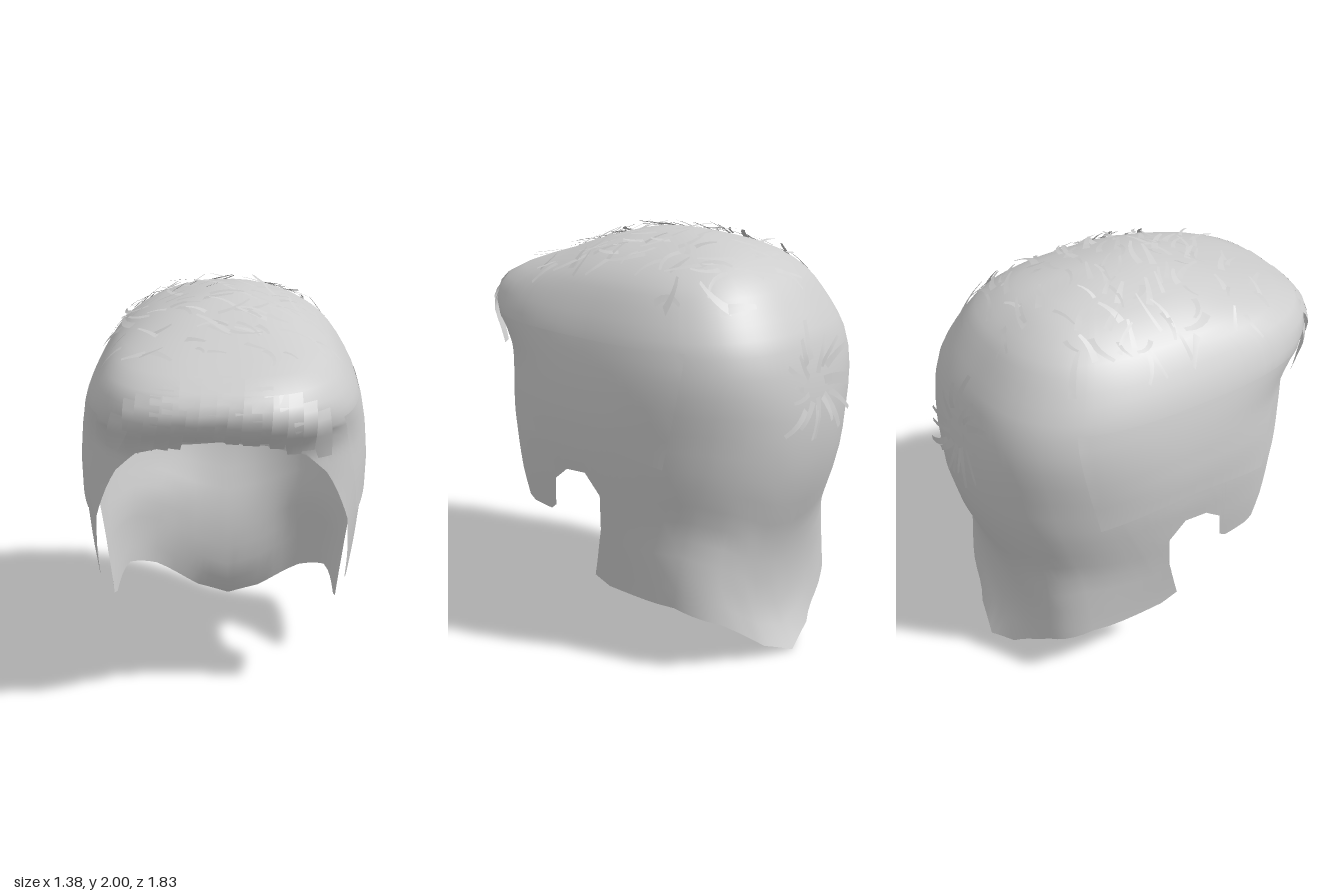
import * as THREE from 'three';
import { mergeGeometries, mergeVertices } from 'three/addons/utils/BufferGeometryUtils.js';

// Horizontal sections of the head: height, half width, front reach, back reach
const H = [0, .12, .24, .4, .6, .8, 1, 1.2, 1.36, 1.48, 1.52, 1.58, 1.64, 1.7, 1.75, 1.79, 1.83, 1.87, 1.9, 1.925, 1.945, 1.957, 1.962];
const HALF = [.5, .53, .555, .575, .61, .645, .67, .68, .67, .65, .64, .62, .59, .555, .52, .485, .435, .37, .3, .22, .15, .08, 0];
const FRONT = [.85, .85, .85, .88, .9, .86, .81, .77, .78, .82, .86, .895, .9, .86, .76, .65, .52, .41, .33, .24, .16, .09, 0];
const BACK = [.77, .7, .68, .68, .72, .805, .855, .87, .855, .83, .815, .785, .75, .71, .675, .64, .59, .53, .47, .39, .28, .17, 0];
const TOP = 1.962, MID = 1.52;
const { smoothstep, lerp, clamp } = THREE.MathUtils;

function lookup(table, y) {
  let i = 0;
  while (i < H.length - 2 && y > H[i + 1]) i++;
  const t = clamp((y - H[i]) / (H[i + 1] - H[i]), 0, 1);
  return table[i] + (table[i + 1] - table[i]) * t;
}

// Reach and squareness of a section; the nape and quiff are boxier
const reachAt = (y, front) => lookup(front ? FRONT : BACK, y);
const power = (y, front) => front
  ? 2.5 + .5 * smoothstep(y, 1.36, 1.56) * (1 - smoothstep(y, 1.68, 1.85))
  : 2.35 + .4 * smoothstep(y, 1.1, 1.5) + 2.6 * (1 - smoothstep(y, .15, .75));

// Point on the head at an angle (0 = front, PI = back) and height
function head(a, y, out = 0) {
  const s = Math.sin(a), c = Math.cos(a), front = c > 0, n = power(y, front);
  const k = Math.pow(Math.pow(Math.abs(s), n) + Math.pow(Math.abs(c), n), -1 / n);
  return new THREE.Vector3(s * k * (lookup(HALF, y) + out), y, c * k * (reachAt(y, front) + out));
}

// Depth of the front or back surface at x, y
function depth(x, y, front) {
  const n = power(y, front), k = Math.min(1, Math.abs(x) / lookup(HALF, y));
  return Math.pow(1 - Math.pow(k, n), 1 / n) * (front ? 1 : -1) * reachAt(y, front);
}

// Height of the dome above x, z
function domeY(x, z) {
  let lo = 1.5, hi = TOP;
  for (let i = 0; i < 20; i++) {
    const y = (lo + hi) / 2, n = power(y, z > 0);
    const d = Math.pow(Math.abs(x) / (lookup(HALF, y) + 1e-6), n)
      + Math.pow(Math.abs(z) / (reachAt(y, z > 0) + 1e-6), n);
    if (d < 1) lo = y; else hi = y;
  }
  return lo;
}

// Grid surface from a function of u, v in 0..1
function patch(fn, nu, nv) {
  const pos = [], idx = [];
  for (let i = 0; i <= nu; i++)
    for (let j = 0; j <= nv; j++) pos.push(...fn(i / nu, j / nv).toArray());
  for (let i = 0; i < nu; i++)
    for (let j = 0; j < nv; j++) {
      const a = i * (nv + 1) + j, b = a + nv + 1;
      idx.push(a, b, a + 1, b, b + 1, a + 1);
    }
  let g = new THREE.BufferGeometry();
  g.setAttribute('position', new THREE.Float32BufferAttribute(pos, 3));
  g.setIndex(idx);
  g = mergeVertices(g, 1e-5);
  g.computeVertexNormals();
  return g;
}

// Hairline on one side, front to nape: axis, value, height, angle higher up in degrees
const RIM = [
  ['x', 0, 1.48, 0], ['x', .2, 1.46, 17], ['x', .37, 1.39, 31], ['x', .47, 1.28, 42],
  ['z', .5, 1, 54], ['z', .42, .67, 61], ['z', .38, .65, 64], ['z', .24, .65, 71],
  ['z', .2, .68, 75], ['z', .17, .83, 79], ['z', .08, .9, 85], ['z', -.04, .91, 92],
  ['z', -.12, .81, 101], ['z', -.09, .6, 112], ['z', -.01, .36, 124], ['z', -.1, .325, 127],
  ['z', -.48, .32, 140], ['b', .4, .24, 150], ['b', .17, .07, 166], ['b', 0, 0, 180],
].map(([axis, v, y, mid]) => {
  const front = axis === 'x' || (axis === 'z' && v > 0), n = power(y, front);
  const k = Math.abs(v) / (axis === 'z' ? reachAt(y, front) : lookup(HALF, y));
  const other = Math.pow(1 - Math.pow(k, n), 1 / n);
  const [xr, zr] = axis === 'z' ? [other, k] : [k, other];
  return [Math.atan2(xr, front ? zr : -zr), y, mid * Math.PI / 180];
});

function rimAt(u) {
  const f = u * (RIM.length - 1), i = Math.min(RIM.length - 2, Math.floor(f + 1e-9));
  return RIM[i].map((p, k) => p + (RIM[i + 1][k] - p) * (f - i));
}

function makeShell() {
  const low = 14, upper = H.filter(y => y > MID), rows = low + upper.length;
  return patch((u, v) => {
    const s = u * 2 - 1, [a, y, mid] = rimAt(Math.abs(s)), r = Math.round(v * rows);
    const t = Math.min(1, r / low);
    const ang = (a + (mid - a) * t) * (s < 0 ? -1 : 1);
    return head(ang, r <= low ? y + (MID - y) * t : upper[r - low - 1]);
  }, (RIM.length - 1) * 10, rows);
}

let seed = 7;
const rand = (a, b) => {
  seed = (seed * 16807) % 2147483647;
  return a + (b - a) * seed / 2147483647;
};

export function createModel() {
  const group = new THREE.Group();
  const hair = new THREE.MeshStandardMaterial({ color: 0xcccccc, side: THREE.DoubleSide });
  hair.name = 'light grey hair';
  const add = (name, geometry) => {
    const m = new THREE.Mesh(geometry, hair);
    m.name = name;
    group.add(m);
  };

  add('hairShell', makeShell());

  // Thin overlapping layer above each ear
  for (const side of [1, -1]) {
    add(side > 0 ? 'leftSideLayer' : 'rightSideLayer', patch((u, v) => {
      const a = lerp(1.06 - .2 * v, 2.12 + .12 * v, u);
      const y = lerp(1.01 + .07 * Math.sin(u * Math.PI), 1.54, v);
      return head(a * side, y, .003 + .009 * (1 - v));
    }, 24, 8));
  }

  // Swept fringe rolling over the forehead
  const fringe = [];
  for (let i = 0; i < 15; i++) {
    const x0 = (i - 7) / 7 * .42, k = (x0 / .5) ** 2;
    const high = 1.73 - .16 * k + rand(-.03, .03), low = 1.49 - .15 * k + rand(-.02, .02);
    const wide = rand(.09, .12), lean = x0 * .1 + rand(-.03, .03);
    fringe.push(patch((u, v) => {
      const x = x0 + lean * v + (u - .5) * wide * (1 - .4 * v * v);
      const y = high + (low - high) * v;
      const lift = .004 + (.02 + .03 * k) * Math.sin(Math.min(1, v * 1.3) * Math.PI / 2);
      return new THREE.Vector3(x, y, depth(x, y, true) + lift + .012 * u * v);
    }, 2, 6));
  }
  add('fringe', mergeGeometries(fringe));

  // Loose tufts over the top
  const tufts = [];
  while (tufts.length < 125) {
    const x0 = rand(-.56, .52), z0 = rand(-.66, .6);
    const dir = rand(-.3, .9) + (rand(0, 1) < .5 ? Math.PI : 0), bend = rand(-.6, .6);
    const len = rand(.08, .18), wide = rand(.018, .038), rise = rand(.01, .034);
    const tip = domeY(x0 + Math.cos(dir + bend) * len, z0 + Math.sin(dir + bend) * len);
    if (domeY(x0, z0) < 1.68 || tip < 1.64) continue;
    tufts.push(patch((u, v) => {
      const d = dir + bend * v, w = (u - .5) * wide * (1 - .6 * v);
      const x = x0 + Math.cos(d) * len * v - Math.sin(d) * w;
      const z = z0 + Math.sin(d) * len * v + Math.cos(d) * w;
      return new THREE.Vector3(x, domeY(x, z) + .004 + rise * v, z);
    }, 1, 4));
  }
  add('topTufts', mergeGeometries(tufts));

  // Whorl of short locks at the back
  const whorl = [];
  for (let i = 0; i < 18; i++) {
    const dir = i / 18 * Math.PI * 2 + rand(-.12, .12);
    const r0 = rand(.05, .13), len = rand(.1, .2), wide = rand(.025, .045), rise = rand(.01, .04);
    whorl.push(patch((u, v) => {
      const d = dir + .2 * v, r = r0 + len * v, w = (u - .5) * wide * (1 - .4 * v);
      const x = Math.cos(d) * r - Math.sin(d) * w;
      const y = 1.34 + Math.sin(d) * r + Math.cos(d) * w;
      return new THREE.Vector3(x, y, depth(x, y, false) - .004 - rise * v);
    }, 1, 4));
  }
  add('backWhorl', mergeGeometries(whorl));

  return group;
}
